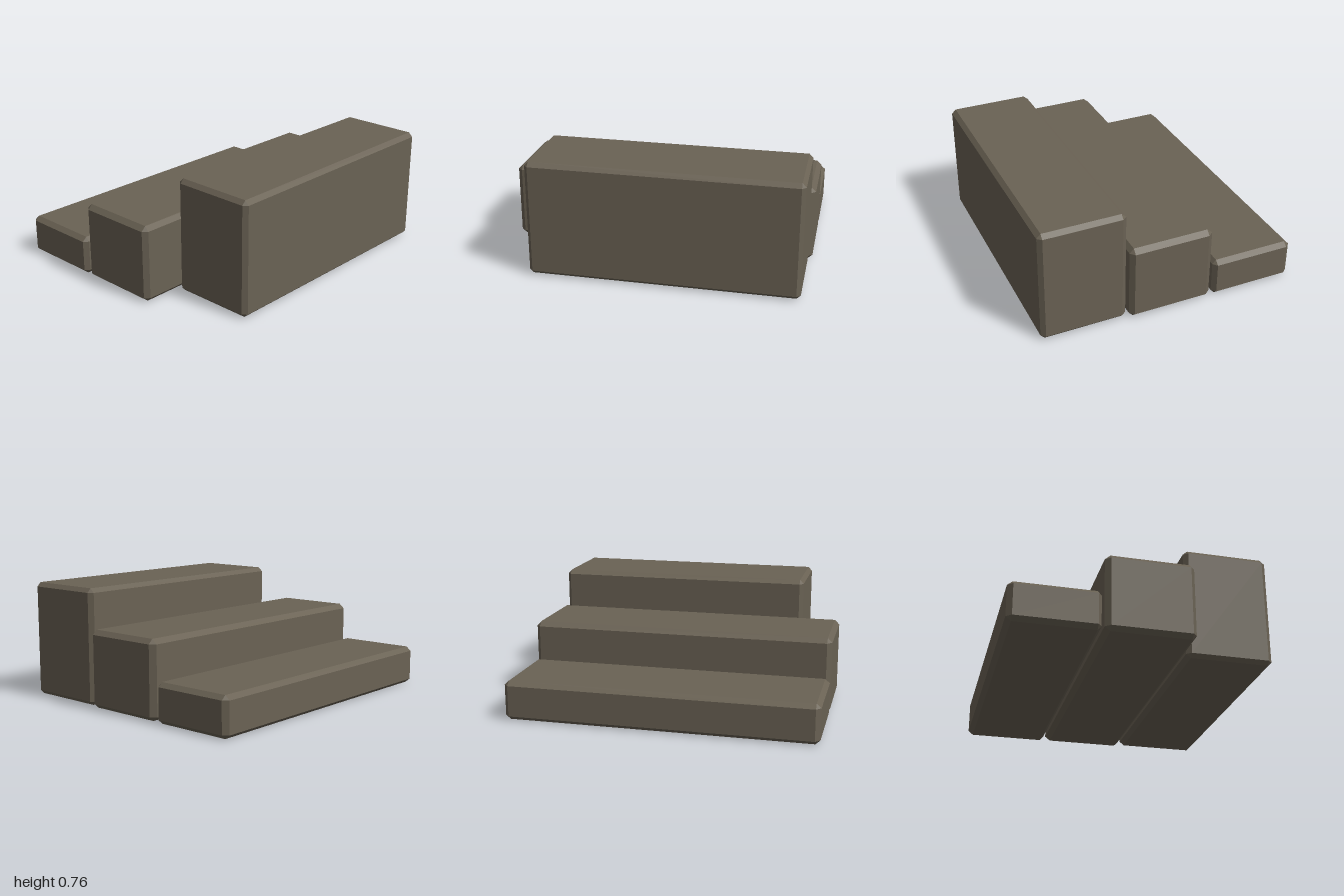
import * as THREE from 'three';
import { ConvexGeometry } from 'three/addons/geometries/ConvexGeometry.js';

// Block with bevelled edges and cut corners.
// Each axis is [min, max, bevel inset at min, bevel inset at max].
function bevelledBlock(...axes) {
  const points = [];
  for (let corner = 0; corner < 8; corner++) {
    const side = [corner & 1, (corner >> 1) & 1, (corner >> 2) & 1];
    // One point per face meeting at this corner, inset along the other two axes
    for (let face = 0; face < 3; face++) {
      const p = axes.map((a, i) => {
        const inset = i === face ? 0 : a[2 + side[i]];
        return side[i] ? a[1] - inset : a[0] + inset;
      });
      points.push(new THREE.Vector3(...p));
    }
  }
  return new ConvexGeometry(points);
}

export function createModel() {
  const group = new THREE.Group();
  group.name = 'stoneSteps';
  const stone = new THREE.MeshStandardMaterial({ color: 0x6a6254 });
  stone.name = 'stone';

  // Steps from tallest (front) to lowest (back): x, y and z extents
  const steps = {
    topStep: [[-0.74, 0.975, 0.025, 0.025], [0.005, 0.757, 0.025, 0.027], [0.295, 0.852, 0.03, 0.027]],
    middleStep: [[-1, 1, 0.03, 0.03], [0.003, 0.505, 0.027, 0.03], [-0.278, 0.28, 0.035, 0.027]],
    bottomStep: [[-1, 1, 0.03, 0.03], [0, 0.255, 0.027, 0.027], [-0.852, -0.295, 0.033, 0.024]],
  };
  for (const [name, axes] of Object.entries(steps)) {
    const mesh = new THREE.Mesh(bevelledBlock(...axes), stone);
    mesh.name = name;
    group.add(mesh);
  }
  return group;
}
